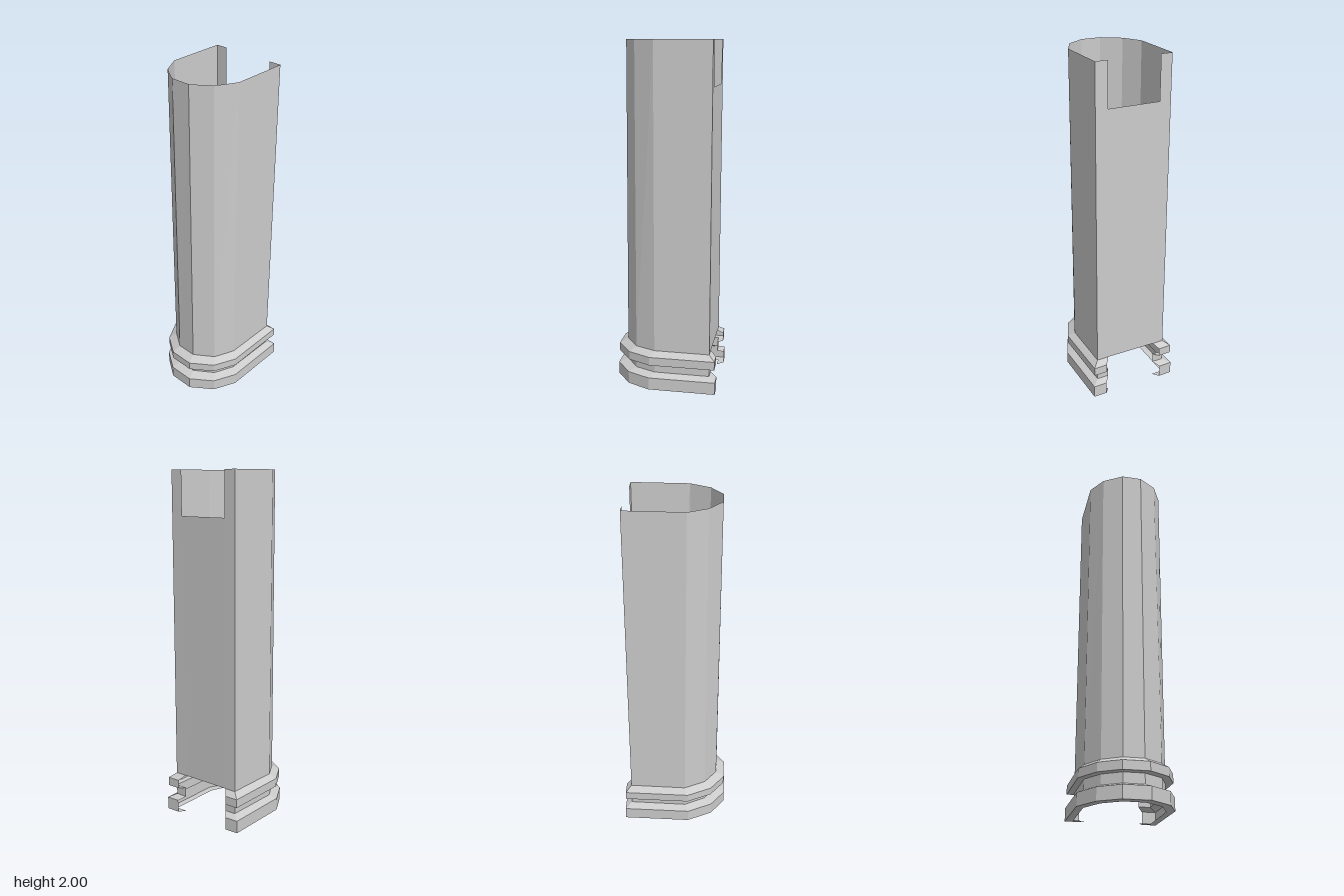
import * as THREE from 'three';

// Open U-shaped outlines [x, z], from the right back lip around the front to the left back lip
const shaftLow = [[-0.147, -0.273], [-0.215, -0.275], [-0.23, 0.055], [-0.168, 0.178],
  [-0.07, 0.25], [0.046, 0.255], [0.16, 0.183], [0.215, 0.066], [0.228, -0.258], [0.157, -0.26]];
const shaftTop = [[-0.147, -0.273], [-0.215, -0.275], [-0.23, 0.055], [-0.173, 0.165],
  [-0.07, 0.24], [0.044, 0.244], [0.15, 0.178], [0.215, 0.064], [0.228, -0.258], [0.157, -0.26]];
const rim = [[-0.176, -0.312], [-0.257, -0.312], [-0.271, 0.077], [-0.2, 0.221],
  [-0.087, 0.304], [0.063, 0.311], [0.19, 0.226], [0.257, 0.095], [0.269, -0.295], [0.188, -0.297]];

// Blend from the shaft outline (t = 0) to the rim outline (t = 1)
const blend = t => shaftLow.map(([x, z], i) => [x + (rim[i][0] - x) * t, z + (rim[i][1] - z) * t]);

// Faceted sheet between successive levels, each { y, ring }, listed from bottom to top
function sheet(name, levels) {
  const pos = [];
  for (let k = 0; k < levels.length - 1; k++) {
    const lo = levels[k], hi = levels[k + 1];
    for (let i = 0; i < lo.ring.length - 1; i++) {
      const at = (l, j) => [l.ring[j][0], l.y, l.ring[j][1]];
      const a = at(lo, i), b = at(lo, i + 1), c = at(hi, i + 1), d = at(hi, i);
      pos.push(...a, ...b, ...c, ...a, ...c, ...d);
    }
  }
  const geometry = new THREE.BufferGeometry();
  geometry.setAttribute('position', new THREE.Float32BufferAttribute(pos, 3));
  geometry.computeVertexNormals();
  const mesh = new THREE.Mesh(geometry, new THREE.MeshStandardMaterial({
    color: 0xcccccc, flatShading: true, side: THREE.DoubleSide }));
  mesh.name = name;
  return mesh;
}

export function createModel() {
  const group = new THREE.Group();
  group.name = 'channelColumn';
  const inner = blend(0), flange = blend(0.88), outer = blend(1);

  // Tall shaft with narrow back lips
  group.add(sheet('shaft', [{ y: 0.228, ring: shaftLow }, { y: 2, ring: shaftTop }]));

  // Back panel closing the channel, leaving a notch at the top and a gap at the base
  const back = [shaftLow[9], shaftLow[0]];
  group.add(sheet('backPanel', [{ y: 0.228, ring: back }, { y: 1.75, ring: back }]));

  // Upper collar, with a sloped shoulder
  group.add(sheet('upperCollar', [{ y: 0.15, ring: inner }, { y: 0.15, ring: flange },
    { y: 0.2, ring: flange }, { y: 0.228, ring: inner }]));

  // Recessed neck between the collars
  group.add(sheet('neck', [{ y: 0.093, ring: inner }, { y: 0.15, ring: inner }]));

  // Foot collar
  group.add(sheet('footCollar', [{ y: 0, ring: inner }, { y: 0, ring: outer },
    { y: 0.073, ring: outer }, { y: 0.093, ring: inner }]));

  return group;
}
